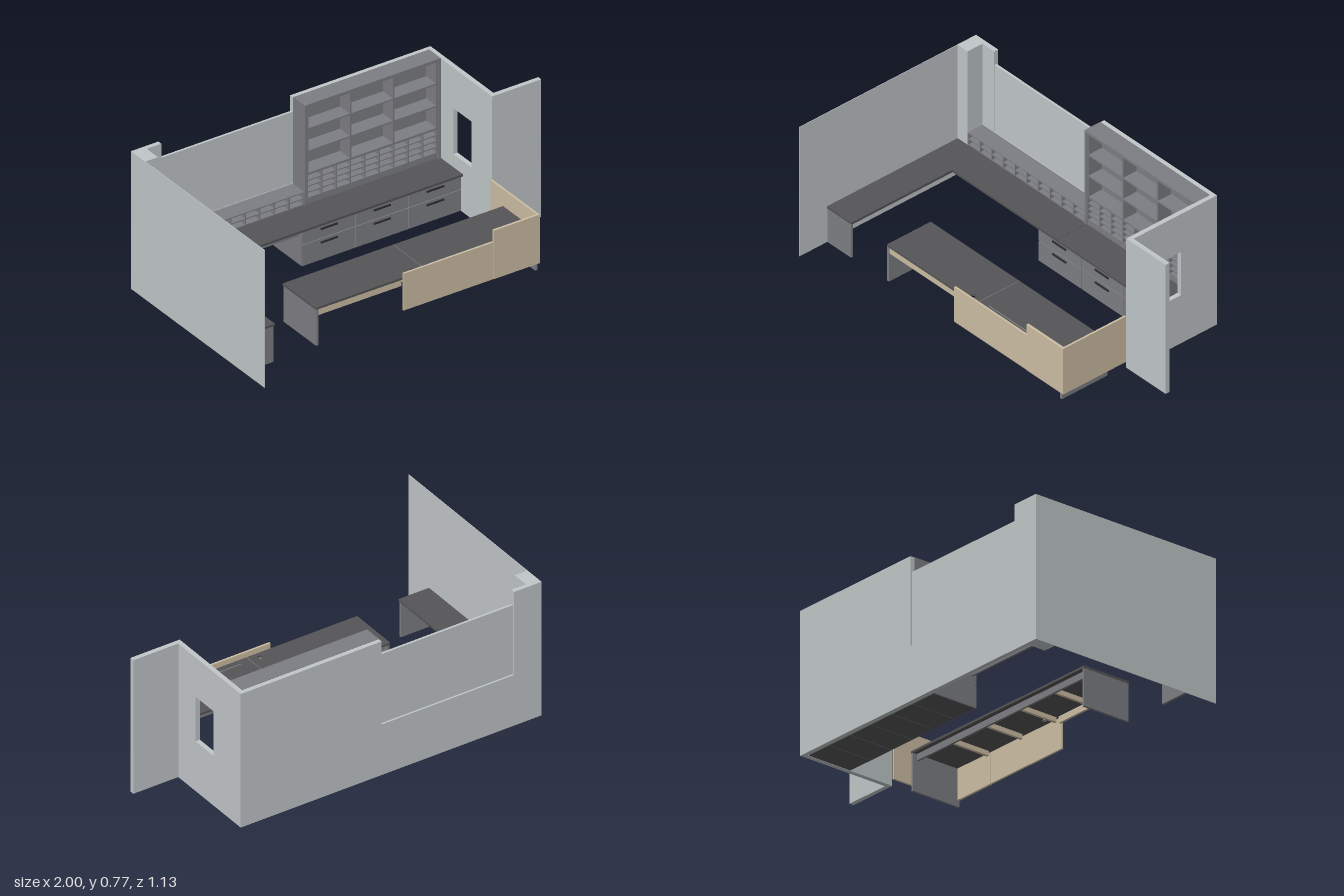
import * as THREE from 'three';

const material = (name, color) => {
  const m = new THREE.MeshStandardMaterial({ color });
  m.name = name;
  return m;
};

export function createModel() {
  const wall = material('wall grey', 0xc0c6c8);
  const cream = material('cream wood', 0xcdbea3);
  const grey = material('cabinet grey', 0x7d7e83);
  const dark = material('counter charcoal', 0x555557);
  const black = material('handle black', 0x2c2c2e);

  const root = new THREE.Group();
  root.name = 'serviceCounterRoom';
  const group = (name) => {
    const g = new THREE.Group();
    g.name = name;
    root.add(g);
    return g;
  };
  // Box given by its limits on each axis
  const box = (parent, name, mat, [x0, x1], [y0, y1], [z0, z1]) => {
    const mesh = new THREE.Mesh(new THREE.BoxGeometry(x1 - x0, y1 - y0, z1 - z0), mat);
    mesh.position.set((x0 + x1) / 2, (y0 + y1) / 2, (z0 + z1) / 2);
    mesh.name = name;
    parent.add(mesh);
    return mesh;
  };
  const outline = (pts) => new THREE.Shape(pts.map(([x, y]) => new THREE.Vector2(x, y)));
  const extrude = (parent, name, mat, shape, depth) => {
    const mesh = new THREE.Mesh(new THREE.ExtrudeGeometry(shape, { depth, bevelEnabled: false, curveSegments: 16 }), mat);
    mesh.name = name;
    parent.add(mesh);
    return mesh;
  };

  // Walls
  const H = 0.765;
  const walls = group('walls');
  const back = outline([[-0.925, 0], [0.715, 0], [0.715, H], [-0.075, H], [-0.075, 0.29], [-0.84, 0.29], [-0.84, H], [-0.925, H]]);
  extrude(walls, 'backWall', wall, back, 0.025).position.z = -0.565;
  box(walls, 'backInfillPanel', wall, [-0.84, -0.075], [0.29, 0.685], [-0.555, -0.542]);
  box(walls, 'cornerPillar', wall, [-1, -0.925], [0, H], [-0.565, -0.445]);
  box(walls, 'leftWall', wall, [-1, -0.997], [0, H], [-0.445, 0.565]);
  const side = outline([[-0.565, 0], [-0.033, 0], [-0.033, H], [-0.565, H]]);
  side.holes.push(outline([[-0.335, 0.285], [-0.335, 0.54], [-0.18, 0.54], [-0.18, 0.285]]));
  const rightWall = extrude(walls, 'rightWall', wall, side, 0.025);
  rightWall.rotation.y = -Math.PI / 2;
  rightWall.position.x = 0.74;
  box(walls, 'returnWall', wall, [0.715, 1], [0, H], [-0.033, -0.008]);

  // L-shaped counter
  const counter = group('wallCounter');
  const top = [0.2, 0.212], rail = [0.165, 0.2];
  box(counter, 'backCounterTopLeft', dark, [-0.997, -0.07], top, [-0.445, -0.255]);
  box(counter, 'backCounterTopRight', dark, [-0.068, 0.715], top, [-0.445, -0.255]);
  box(counter, 'counterTopUnderShelves', dark, [-0.925, 0.715], top, [-0.54, -0.445]);
  box(counter, 'leftCounterTop', dark, [-0.997, -0.82], top, [-0.255, 0.39]);
  box(counter, 'leftCounterEndPanel', grey, [-0.997, -0.825], [0, 0.2], [0.375, 0.387]);
  box(counter, 'leftCounterRail', grey, [-0.865, -0.853], rail, [-0.3, 0.375]);
  box(counter, 'backCounterRail', grey, [-0.853, -0.21], rail, [-0.3, -0.288]);
  for (const z of [-0.12, 0.05, 0.21]) box(counter, 'leftCounterBearer', cream, [-0.995, -0.865], [0.175, 0.2], [z, z + 0.015]);
  for (const x of [-0.75, -0.5]) box(counter, 'backCounterBearer', cream, [x, x + 0.015], [0.175, 0.2], [-0.54, -0.3]);

  // Drawer cabinets below the back counter
  const cabinets = group('drawerCabinets');
  box(cabinets, 'cabinetBody', grey, [-0.21, 0.715], [0.004, 0.2], [-0.538, -0.275]);
  for (let i = 0; i < 6; i++) {
    const x = -0.21 + i * 0.154;
    box(cabinets, 'cabinetBase', dark, [x + 0.002, x + 0.152], [0, 0.004], [-0.535, -0.275]);
  }
  for (let i = 0; i < 3; i++) {
    const x = -0.21 + i * 0.308;
    for (const [y0, y1] of [[0.006, 0.122], [0.126, 0.197]]) {
      box(cabinets, 'drawerFront', grey, [x + 0.002, x + 0.306], [y0, y1], [-0.275, -0.265]);
      box(cabinets, 'drawerHandle', black, [x + 0.105, x + 0.203], [y1 - 0.022, y1 - 0.014], [-0.265, -0.258]);
    }
  }

  // Open shelving made from a back, uprights and boards
  const shelfZ = [-0.53, -0.445];
  const rack = (parent, x0, x1, y0, y1, cols, rows, t, name) => {
    for (let i = 0; i <= cols; i++) {
      const x = x0 + (x1 - x0 - t) * i / cols;
      box(parent, name + 'Upright', grey, [x, x + t], [y0, y1], shelfZ);
    }
    for (let j = 0; j <= rows; j++) {
      const y = y0 + (y1 - y0 - t) * j / rows;
      box(parent, name + 'Board', grey, [x0, x1], [y, y + t], [-0.53, -0.446]);
    }
  };
  const low = group('lowPigeonholes');
  box(low, 'lowBack', grey, [-0.925, -0.075], [0.212, 0.285], [-0.54, -0.53]);
  rack(low, -0.925, -0.075, 0.212, 0.285, 10, 2, 0.006, 'low');

  const tall = group('tallShelfUnit');
  box(tall, 'tallBack', grey, [-0.075, 0.715], [0.212, 0.767], [-0.54, -0.53]);
  for (const x of [-0.075, 0.7]) box(tall, 'tallSide', grey, [x, x + 0.015], [0.212, 0.767], [-0.53, -0.44]);
  box(tall, 'tallTop', grey, [-0.06, 0.7], [0.752, 0.767], [-0.53, -0.441]);
  rack(tall, -0.06, 0.7, 0.375, 0.755, 3, 3, 0.009, 'tall');
  rack(tall, -0.06, 0.7, 0.24, 0.378, 9, 4, 0.006, 'pigeonhole');
  box(tall, 'tallPlinth', grey, [-0.06, 0.7], [0.212, 0.24], [-0.53, -0.446]);

  // Island desk with a round cable hole
  const island = group('islandDesk');
  const slab = outline([[-0.575, -0.38], [0.705, -0.38], [0.705, -0.1], [-0.575, -0.1]]);
  const hole = new THREE.Path();
  hole.absarc(0.01, -0.345, 0.014, 0, Math.PI * 2, true);
  slab.holes.push(hole);
  const slabMesh = extrude(island, 'islandTop', dark, slab, 0.012);
  slabMesh.rotation.x = -Math.PI / 2;
  slabMesh.position.y = 0.2;
  box(island, 'cableSlot', grey, [0.12, 0.56], [0.212, 0.213], [0.342, 0.348]);
  box(island, 'topJoint', grey, [0.064, 0.067], [0.212, 0.2125], [0.1, 0.38]);
  box(island, 'leftEndPanel', grey, [-0.573, -0.56], [0, 0.2], [0.102, 0.38]);
  box(island, 'rightEndPanel', grey, [0.69, 0.703], [0, 0.2], [0.102, 0.393]);
  box(island, 'rearRail', grey, [-0.56, 0.69], rail, [0.125, 0.137]);
  box(island, 'frontApron', cream, [-0.56, -0.075], rail, [0.365, 0.377]);
  for (const x of [-0.31, -0.06, 0.19, 0.44]) box(island, 'islandBearer', cream, [x, x + 0.015], [0.175, 0.2], [0.137, 0.365]);

  // Cream cladding in front of and beside the island
  const cladding = group('islandCladding');
  box(cladding, 'frontPanelLow', cream, [-0.075, 0.448], [0.035, 0.24], [0.382, 0.393]);
  box(cladding, 'frontPanelHigh', cream, [0.45, 0.715], [0.035, 0.305], [0.382, 0.395]);
  box(cladding, 'sidePanel', cream, [0.704, 0.715], [0.035, 0.305], [-0.006, 0.382]);

  return root;
}
